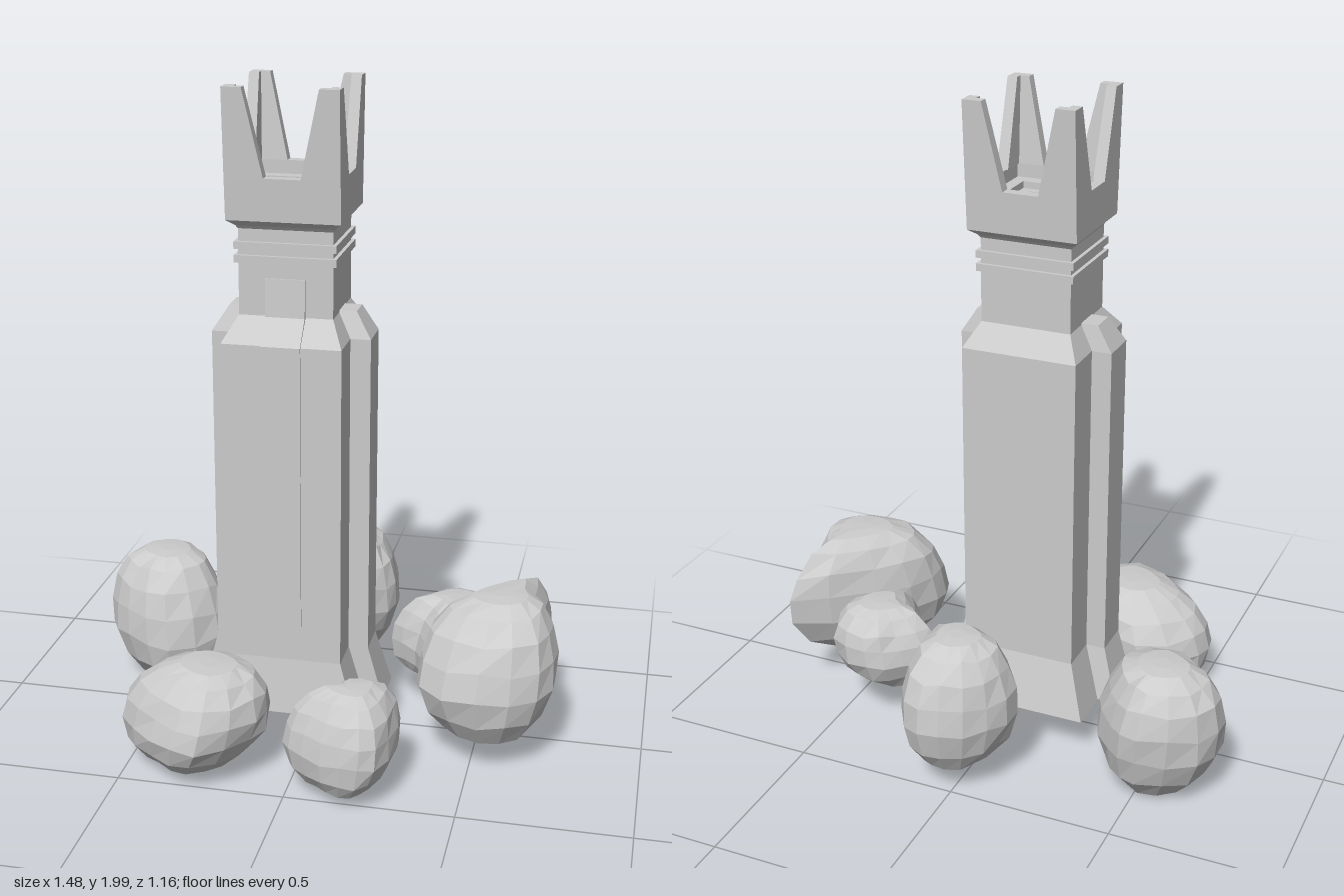
import * as THREE from 'three';

const material = new THREE.MeshStandardMaterial({ color: 0xcccccc, flatShading: true });

// Joins equal-length rings of [x, y, z] (clockwise seen from above) and caps both ends.
function loft(name, rings) {
  const n = rings[0].length, pos = [];
  const tri = (a, b, c) => pos.push(...a, ...b, ...c);
  for (let k = 0; k < rings.length - 1; k++) {
    for (let i = 0; i < n; i++) {
      const j = (i + 1) % n, lo = rings[k], hi = rings[k + 1];
      tri(lo[i], hi[i], lo[j]);
      tri(lo[j], hi[i], hi[j]);
    }
  }
  const bottom = rings[0], top = rings[rings.length - 1];
  for (let i = 1; i < n - 1; i++) {
    tri(bottom[0], bottom[i], bottom[i + 1]);
    tri(top[0], top[i + 1], top[i]);
  }
  const geo = new THREE.BufferGeometry();
  geo.setAttribute('position', new THREE.Float32BufferAttribute(pos, 3));
  geo.computeVertexNormals();
  const mesh = new THREE.Mesh(geo, material);
  mesh.name = name;
  return mesh;
}

// Rectangular ring: height, half width, half depth, centre z.
const CX = -0.065, CZ = 0.029;
const rect = ([y, hx, hz, cz = CZ]) =>
  [[-1, -1], [1, -1], [1, 1], [-1, 1]].map(([a, b]) => [CX + a * hx, y, cz + b * hz]);
const tower = (name, levels) => loft(name, levels.map(rect));

// L-shaped corner spike of the crown, tapering upwards.
function spike(sx, sz) {
  const ring = (y, X, Z, gx, gz, t) => {
    const pts = [[X, Z], [gx, Z], [gx, Z - t], [X - t, Z - t], [X - t, gz], [X, gz]]
      .map(([x, z]) => [CX + sx * x, y, CZ + sz * z]);
    return sx * sz < 0 ? [pts[0], ...pts.slice(1).reverse()] : pts;
  };
  return loft('crownSpike', [
    ring(1.75, 0.165, 0.164, 0.053, 0.05, 0.035),
    ring(2.0, 0.165, 0.18, 0.108, 0.127, 0.03),
  ]);
}

// Boulder: a smooth plan outline scaled by a rounded height profile, leaning and roughened.
function boulder({ outline, y0, y1, lean }, seed) {
  let s = seed * 7919 + 17;
  const rand = () => (s = (s * 16807) % 2147483647) / 2147483647 - 0.5;
  const curve = new THREE.CatmullRomCurve3(
    outline.map(([x, z]) => new THREE.Vector3(x, 0, z)), true, 'centripetal');
  const plan = curve.getPoints(16).slice(0, 16);
  const c = plan.reduce((a, p) => a.add(p), new THREE.Vector3()).divideScalar(16);
  const profile = [[0, 0.38], [0.05, 0.62], [0.2, 0.87], [0.4, 1], [0.6, 0.98],
    [0.78, 0.87], [0.92, 0.66], [0.99, 0.4], [1, 0.15]];
  const rings = profile.map(([t, k]) => plan.map((p) => {
    const f = k * (1 + 0.05 * rand()), inside = t > 0 && t < 0.99;
    return [
      c.x + (p.x - c.x) * f + lean[0] * (t - 0.45),
      y0 + (y1 - y0) * (t + (inside ? 0.04 * rand() : 0)),
      c.z + (p.z - c.z) * f + lean[1] * (t - 0.45),
    ];
  }));
  return loft('boulder', rings);
}

const boulders = [
  { y0: 0.085, y1: 0.49, lean: [0, 0.02], outline: [[0, -0.58], [0.12, -0.555], [0.18, -0.4],
    [0.16, -0.3], [0.055, -0.235], [-0.075, -0.285], [-0.155, -0.365], [-0.12, -0.495]] },
  { y0: 0.01, y1: 0.44, lean: [-0.04, -0.04], outline: [[-0.53, -0.39], [-0.43, -0.34], [-0.355, -0.22],
    [-0.36, -0.12], [-0.5, -0.01], [-0.65, -0.08], [-0.74, -0.18], [-0.7, -0.32]] },
  { y0: 0.03, y1: 0.35, lean: [0.08, 0], outline: [[-0.345, 0.165], [-0.195, 0.22], [-0.085, 0.32],
    [-0.1, 0.455], [-0.24, 0.575], [-0.39, 0.515], [-0.51, 0.4], [-0.51, 0.28]] },
  { y0: 0.035, y1: 0.345, lean: [0.02, -0.03], outline: [[0.135, 0.3], [0.3, 0.31], [0.315, 0.4],
    [0.275, 0.545], [0.18, 0.57], [0.06, 0.515], [-0.01, 0.445], [0.105, 0.375]] },
  { y0: 0.12, y1: 0.39, lean: [0.04, -0.02], outline: [[0.38, -0.305], [0.51, -0.26], [0.535, -0.12],
    [0.45, -0.01], [0.35, 0.02], [0.29, -0.08], [0.2, -0.15], [0.28, -0.25]] },
  { y0: 0.095, y1: 0.515, lean: [0.02, -0.06], outline: [[0.69, -0.21], [0.695, -0.04], [0.74, 0.08],
    [0.7, 0.24], [0.525, 0.305], [0.35, 0.22], [0.34, 0.12], [0.46, -0.04]] },
];

export function createModel() {
  const model = new THREE.Group();
  model.name = 'stoneTower';

  // Shaft with flared foot, sloping shoulder and neck
  model.add(tower('shaft', [
    [0.14, 0.225, 0.216, 0.026], [0.31, 0.175, 0.185, 0.037], [1.28, 0.175, 0.185, 0.037],
    [1.35, 0.137, 0.125], [1.61, 0.137, 0.125],
  ]));

  // Buttress ribs on both sides
  model.add(tower('sideRibs', [
    [0.14, 0.283, 0.073, 0.024], [0.31, 0.235, 0.06, 0.037], [1.28, 0.235, 0.06, 0.037],
    [1.355, 0.188, 0.04],
  ]));

  // Thin front panel that follows the shoulder
  const side = new THREE.Shape([[0.19, 0.42], [0.228, 0.42], [0.228, 1.28], [0.165, 1.35],
    [0.158, 1.46], [0.1, 1.46], [0.1, 1.3]].map(([z, y]) => new THREE.Vector2(-z, y)));
  const panel = new THREE.Mesh(
    new THREE.ExtrudeGeometry(side, { depth: 0.116, bevelEnabled: false }), material);
  panel.name = 'frontPanel';
  panel.rotation.y = Math.PI / 2;
  panel.position.x = -0.124;
  model.add(panel);

  // Neck rings
  for (const y of [1.503, 1.542]) {
    model.add(tower('neckRing', [[y, 0.148, 0.136], [y + 0.022, 0.148, 0.136]]));
  }

  // Crown with stepped basin
  model.add(tower('crown', [
    [1.6, 0.137, 0.125], [1.61, 0.142, 0.133], [1.628, 0.165, 0.156], [1.75, 0.165, 0.164],
    [1.75, 0.135, 0.13], [1.71, 0.135, 0.13], [1.71, 0.1, 0.09], [1.69, 0.1, 0.09],
    [1.69, 0.075, 0.063], [1.65, 0.075, 0.063],
  ]));
  for (const sx of [-1, 1]) for (const sz of [-1, 1]) model.add(spike(sx, sz));

  // Ring of boulders around the foot
  boulders.forEach((b, i) => model.add(boulder(b, i + 1)));
  return model;
}
